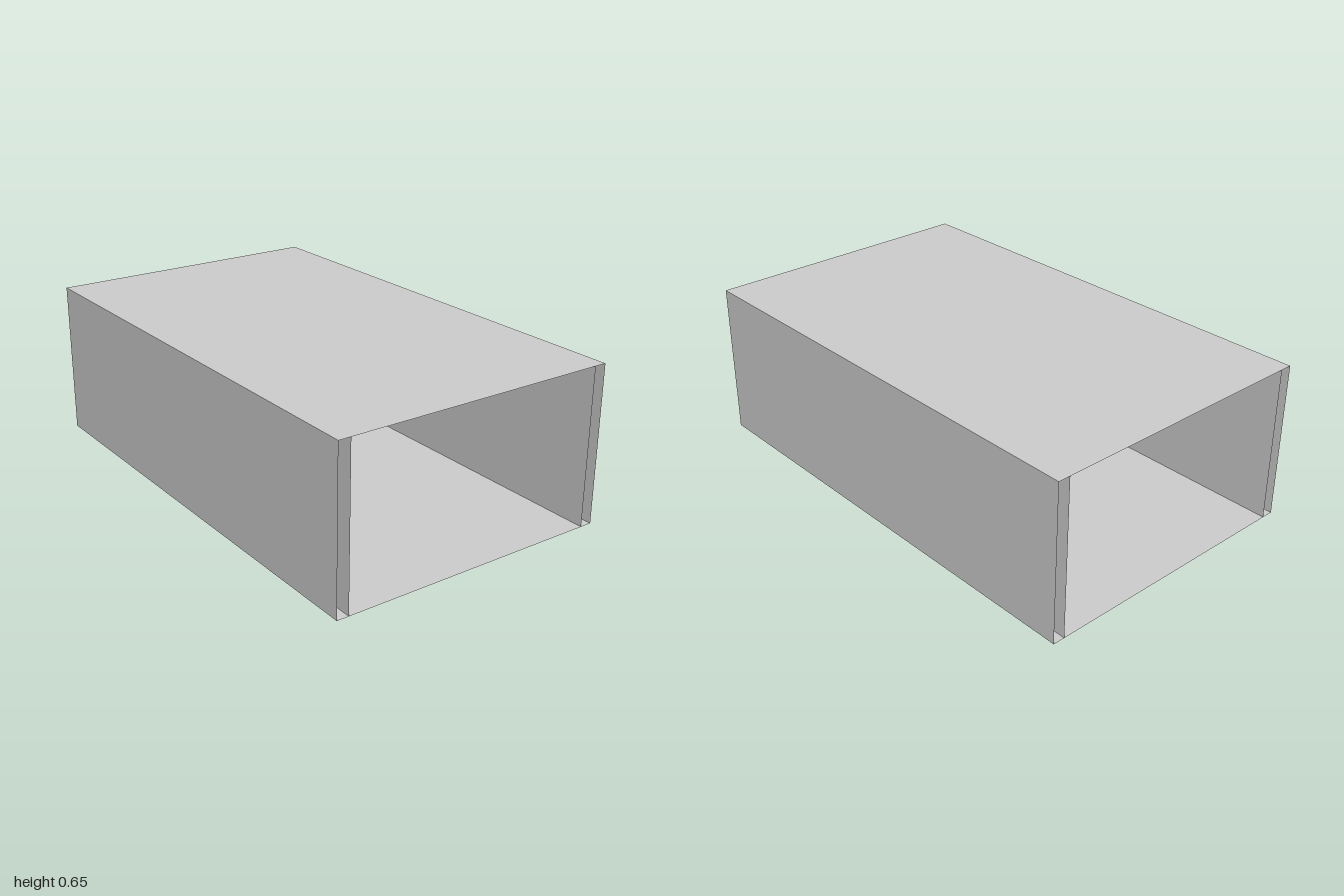
import * as THREE from 'three';

const WIDTH = 1.2, HEIGHT = 0.652, LENGTH = 2;
const INNER_X = 0.55; // inner walls leave a narrow cavity on each side

export function createModel() {
  const group = new THREE.Group();
  const sheetMat = new THREE.MeshStandardMaterial({ color: 0xcccccc, side: THREE.DoubleSide });
  const lampMat = new THREE.MeshStandardMaterial({ color: 0xcccccc });

  const add = (parent, name, geometry, material, x, y, z) => {
    const mesh = new THREE.Mesh(geometry, material);
    mesh.name = name;
    mesh.position.set(x, y, z);
    parent.add(mesh);
    return mesh;
  };

  // Floor and ceiling: thin sheets, both ends of the hall stay open
  const floorGeo = new THREE.PlaneGeometry(WIDTH, LENGTH).rotateX(-Math.PI / 2);
  const ceilingGeo = new THREE.PlaneGeometry(WIDTH, LENGTH).rotateX(Math.PI / 2);
  add(group, 'floor', floorGeo, sheetMat, 0, 0, 0);
  add(group, 'ceiling', ceilingGeo, sheetMat, 0, HEIGHT, 0);

  // Outer and inner walls, mirrored
  for (const [side, s] of [['left', 1], ['right', -1]]) {
    const outer = new THREE.PlaneGeometry(LENGTH, HEIGHT).rotateY(s * Math.PI / 2);
    const inner = new THREE.PlaneGeometry(LENGTH, HEIGHT).rotateY(-s * Math.PI / 2);
    add(group, side + 'OuterWall', outer, sheetMat, s * WIDTH / 2, HEIGHT / 2, 0);
    add(group, side + 'InnerWall', inner, sheetMat, s * INNER_X, HEIGHT / 2, 0);
  }

  // Ceiling lamps: a flat housing carrying two tubes, in two rows of three
  const housingGeo = new THREE.BoxGeometry(0.11, 0.018, 0.38);
  const tubeGeo = new THREE.CylinderGeometry(0.009, 0.009, 0.36, 16).rotateX(Math.PI / 2);
  for (const x of [-0.2, 0.2]) {
    for (const z of [-0.675, 0, 0.675]) {
      const lamp = new THREE.Group();
      lamp.name = 'ceilingLamp';
      lamp.position.set(x, HEIGHT, z);
      add(lamp, 'lampHousing', housingGeo, lampMat, 0, -0.01, 0);
      for (const s of [-1, 1]) add(lamp, 'lampTube', tubeGeo, lampMat, s * 0.028, -0.027, 0);
      group.add(lamp);
    }
  }
  return group;
}
